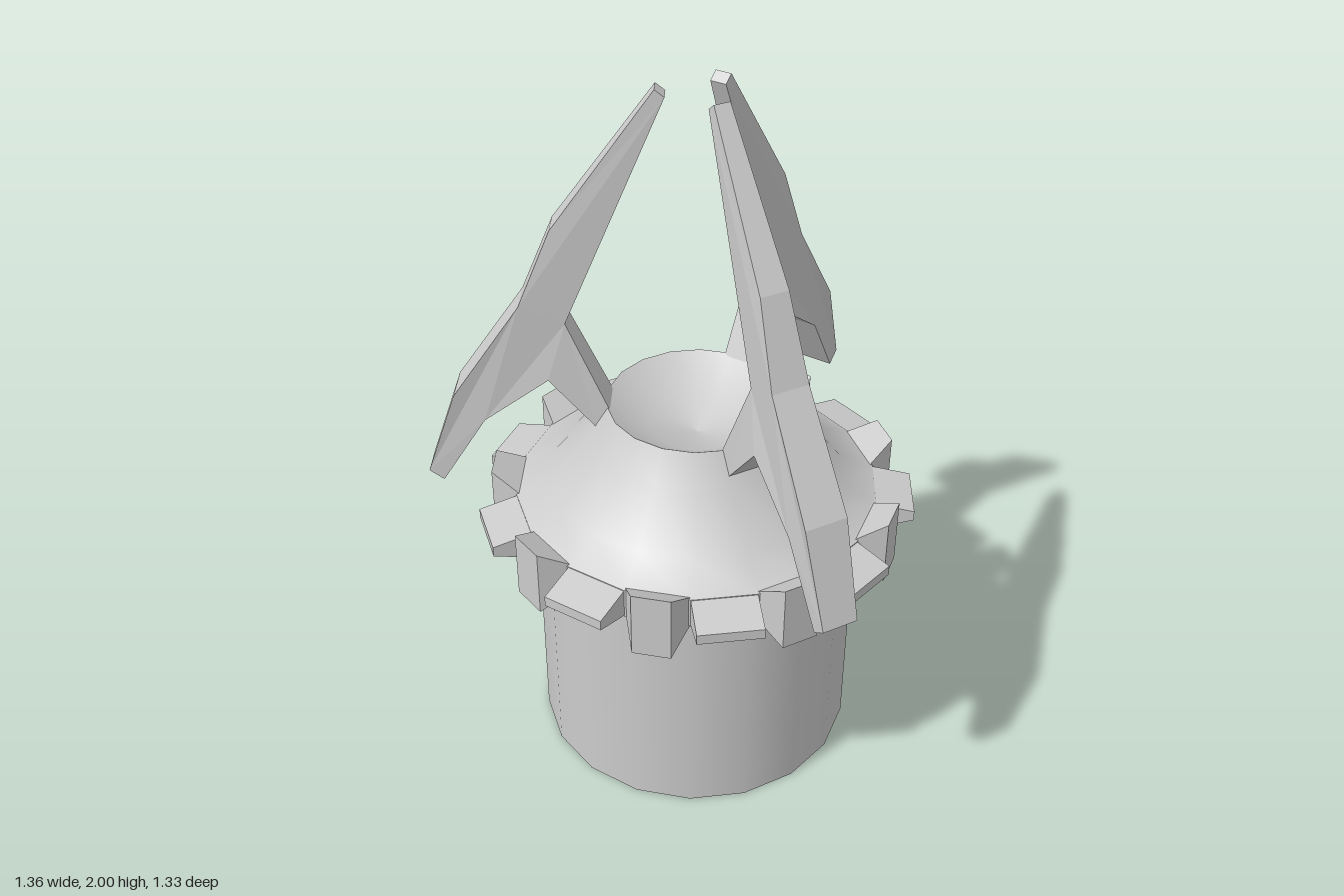
import * as THREE from 'three';

const SIDES = 18;
const STEP = (Math.PI * 2) / SIDES;
const deg = THREE.MathUtils.degToRad;
const material = new THREE.MeshStandardMaterial({ color: 0xcccccc, side: THREE.DoubleSide });
const flatMaterial = new THREE.MeshStandardMaterial({ color: 0xcccccc, flatShading: true });

function addMesh(parent, name, geometry, mat) {
  const mesh = new THREE.Mesh(geometry, mat);
  mesh.name = name;
  parent.add(mesh);
  return mesh;
}

// 18-sided turned section, with a flat side facing the front
function turned(profile) {
  const points = profile.map(([r, y]) => new THREE.Vector2(r, y));
  return new THREE.LatheGeometry(points, SIDES, STEP / 2);
}

// Block growing outwards from the collar, its outer face resized
function toothGeometry(outerR, outerWidth, outerLow, outerHigh) {
  const inner = { r: 0.49, w: 0.177, low: 0.72, high: 0.81 };
  const outer = { r: outerR, w: outerWidth, low: outerLow, high: outerHigh };
  const geo = new THREE.BoxGeometry(1, 1, 1);
  const pos = geo.attributes.position;
  for (let i = 0; i < pos.count; i++) {
    const end = pos.getZ(i) > 0 ? outer : inner;
    pos.setXYZ(i, pos.getX(i) * end.w, pos.getY(i) > 0 ? end.high : end.low, end.r);
  }
  geo.computeVertexNormals();
  return geo;
}

// Claw outline as [radius, height, thickness]
const CLAW = [
  [0.11, 2.0, 0.045], [0.38, 1.62, 0.08], [0.47, 1.4, 0.105], [0.66, 1.12, 0.12],
  [0.75, 0.86, 0.1], [0.71, 0.83, 0.1], [0.58, 1.04, 0.11], [0.4, 1.175, 0.11],
  [0.27, 1.02, 0.11], [0.235, 1.08, 0.11], [0.35, 1.345, 0.08], [0.085, 1.98, 0.045],
];

function clawGeometry() {
  const shape = new THREE.Shape(CLAW.map(([r, y]) => new THREE.Vector2(r, y)));
  const geo = new THREE.ExtrudeGeometry(shape, { depth: 1, bevelEnabled: false });
  geo.translate(0, 0, -0.5);
  // give every outline corner its own thickness
  const pos = geo.attributes.position;
  for (let i = 0; i < pos.count; i++) {
    const corner = CLAW.find(([r, y]) => Math.hypot(r - pos.getX(i), y - pos.getY(i)) < 1e-3);
    pos.setZ(i, pos.getZ(i) * corner[2]);
  }
  geo.computeVertexNormals();
  return geo;
}

export function createModel() {
  const model = new THREE.Group();
  model.name = 'clawedCanister';
  const axis = new THREE.Group();
  axis.name = 'canister';
  axis.position.set(0.067, 0, 0.055);
  model.add(axis);

  // Turned body, split where the edges are sharp
  addMesh(axis, 'base', turned([[0, 0], [0.457, 0]]), material);
  addMesh(axis, 'barrel', turned([[0.457, 0], [0.457, 0.67]]), material);
  addMesh(axis, 'collarUnderside', turned([[0.457, 0.67], [0.51, 0.72]]), material);
  addMesh(axis, 'collar', turned([[0.51, 0.72], [0.51, 0.81]]), material);
  addMesh(axis, 'shoulder', turned([[0.51, 0.81], [0.41, 0.86], [0.3, 1.0], [0.25, 1.09]]), material);
  addMesh(axis, 'bowl', turned([[0.25, 1.09], [0.13, 1.01], [0, 0.98]]), material);

  // Collar teeth, tall and flat in turn
  const tall = toothGeometry(0.575, 0.105, 0.665, 0.86);
  const flat = toothGeometry(0.61, 0.177, 0.755, 0.785);
  for (let i = 0; i < SIDES; i++) {
    const isTall = i % 2 === 0;
    const tooth = addMesh(axis, isTall ? 'tallTooth' : 'flatTooth', isTall ? tall : flat, flatMaterial);
    tooth.rotation.y = i * STEP;
  }

  // Three claws closing above the bowl
  const claw = clawGeometry();
  for (const angle of [-80, 40, 160]) {
    addMesh(axis, 'claw', claw, flatMaterial).rotation.y = deg(angle - 90);
  }
  return model;
}
